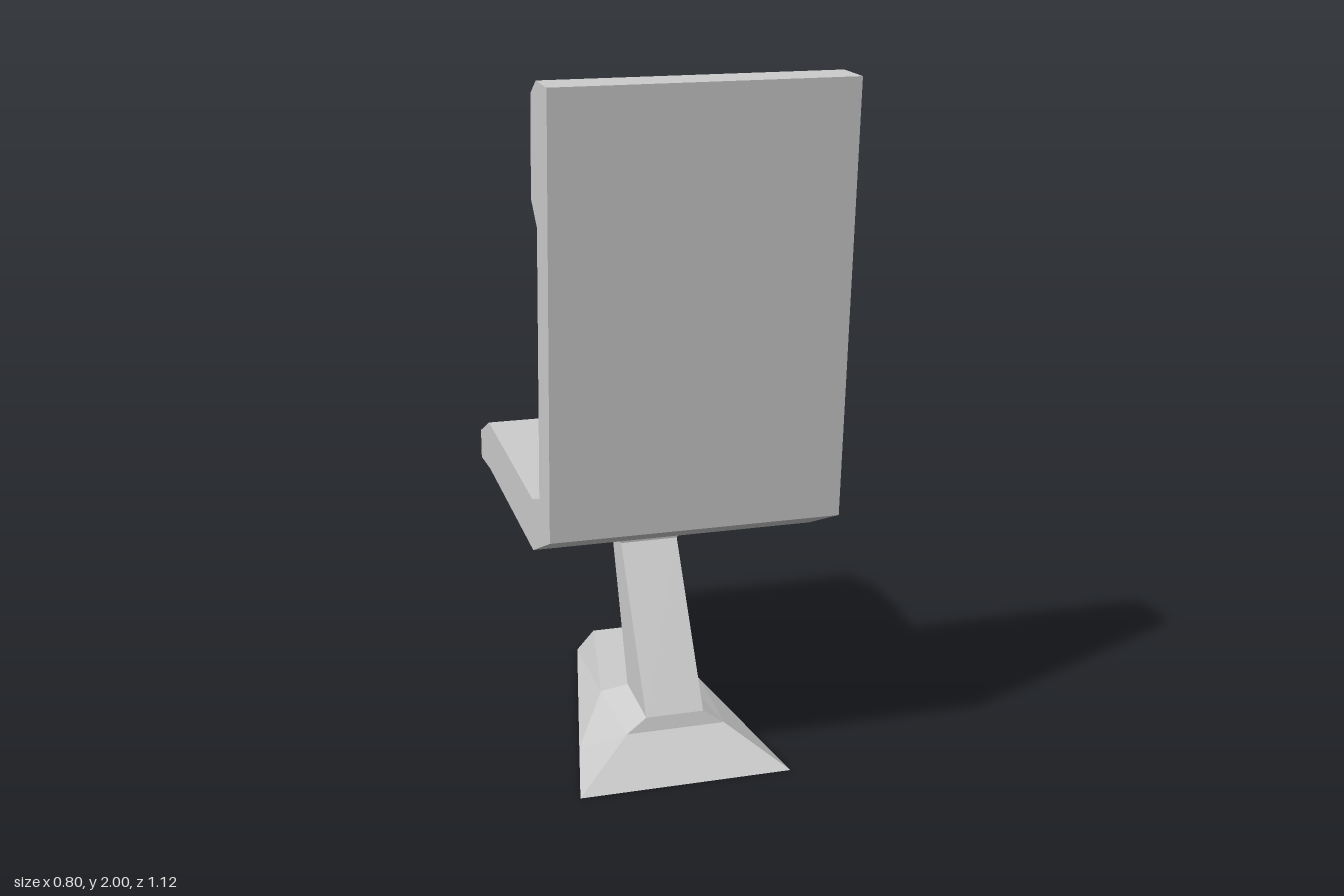
import * as THREE from 'three';

const material = new THREE.MeshStandardMaterial({ color: 0xcccccc, flatShading: true });

function addMesh(group, name, geometry) {
  const mesh = new THREE.Mesh(geometry, material);
  mesh.name = name;
  group.add(mesh);
}

// Skin horizontal sections, bottom to top. Each is { y, half: [[x, z], ...] },
// the +x half of the outline from +z to -z, mirrored to the other side.
function loft(sections) {
  const positions = [];
  const index = [];
  const n = sections[0].half.length * 2;
  for (const { y, half } of sections) {
    const mirrored = half.map(([x, z]) => [-x, z]).reverse();
    for (const [x, z] of [...half, ...mirrored]) positions.push(x, y, z);
  }
  for (let r = 0; r < sections.length - 1; r++) {
    for (let i = 0; i < n; i++) {
      const a = r * n + i;
      const b = r * n + (i + 1) % n;
      index.push(a, b, b + n, a, b + n, a + n);
    }
  }
  // End caps
  const top = (sections.length - 1) * n;
  for (let i = 1; i < n - 1; i++) {
    index.push(0, i + 1, i, top, top + i, top + i + 1);
  }
  const indexed = new THREE.BufferGeometry();
  indexed.setAttribute('position', new THREE.Float32BufferAttribute(positions, 3));
  indexed.setIndex(index);
  const geometry = indexed.toNonIndexed();
  geometry.computeVertexNormals();
  return geometry;
}

export function createModel() {
  const group = new THREE.Group();
  group.name = 'chair';

  // Seat, backrest and headrest: one side profile (z, y) swept across the width
  const profile = [
    [0.50, 0.81], [0.56, 2.0], [0.43, 2.0], [0.36, 1.96], [0.34, 1.69],
    [0.41, 1.63], [0.37, 0.885], [0.27, 0.85], [-0.405, 0.85],
    [-0.56, 0.775], [-0.56, 0.685], [-0.405, 0.70], [0.27, 0.70],
  ];
  const shape = new THREE.Shape(profile.map(([z, y]) => new THREE.Vector2(-z, y)));
  const shell = new THREE.ExtrudeGeometry(shape, { depth: 0.8, bevelEnabled: false });
  shell.translate(0, 0, -0.4).rotateY(Math.PI / 2);
  addMesh(group, 'seatAndBackrest', shell);

  // Slanted post, flared into the foot and under the seat
  addMesh(group, 'post', loft([
    { y: 0.115, half: [[0.145, 0.30], [0.155, 0.02]] },
    { y: 0.155, half: [[0.085, 0.29], [0.085, 0.07]] },
    { y: 0.58, half: [[0.085, 0.0], [0.085, -0.115]] },
    { y: 0.70, half: [[0.155, 0.01], [0.155, -0.15]] },
  ]));

  // Tapered foot with sloping sides
  addMesh(group, 'foot', loft([
    { y: 0, half: [[0.31, 0.42], [0.25, 0.14], [0.11, -0.51]] },
    { y: 0.115, half: [[0.145, 0.30], [0.155, 0.02], [0.08, -0.40]] },
  ]));

  return group;
}
